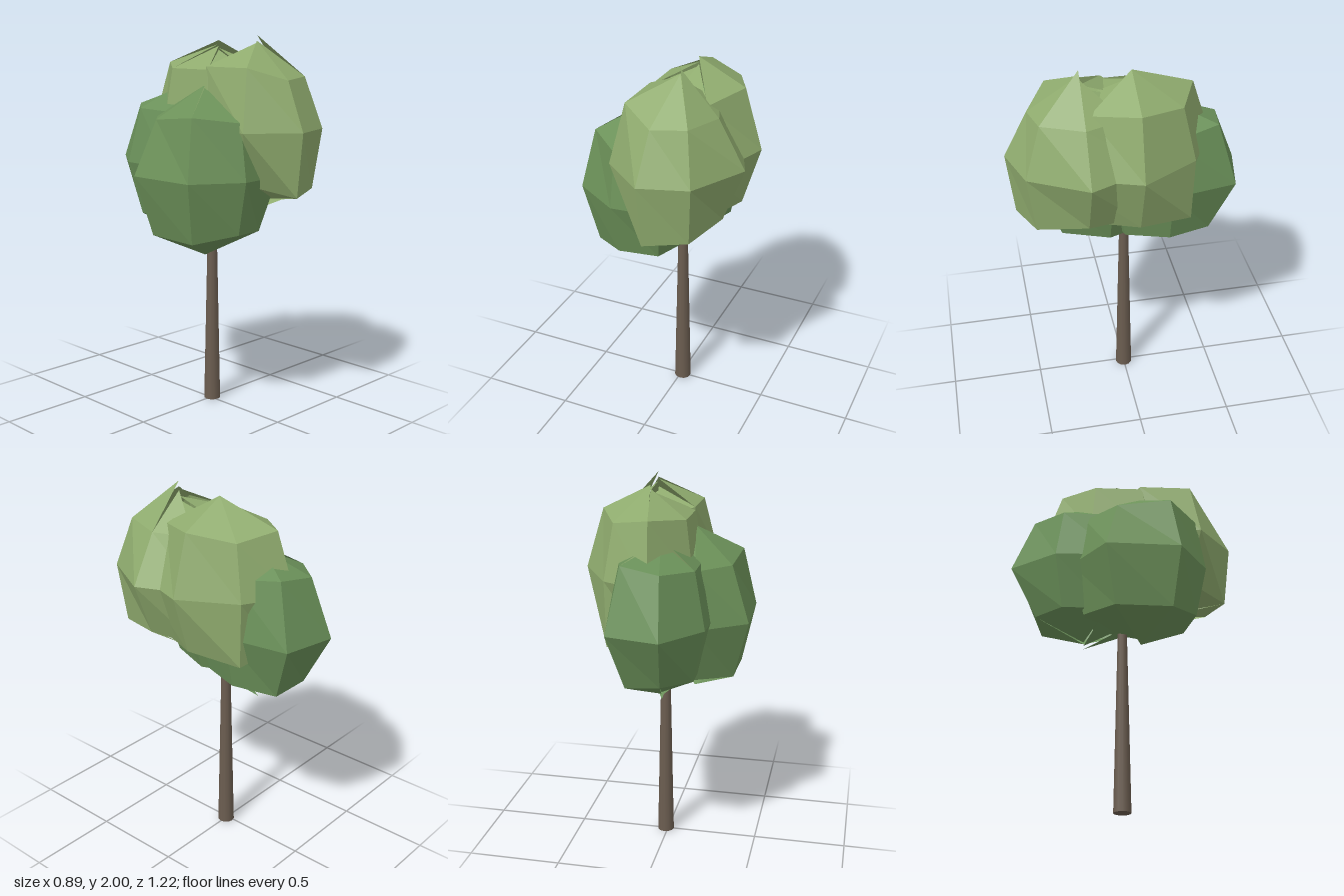
import * as THREE from 'three';

const SIDES = 7;
const DEPTH = 1.3; // clumps are deeper than wide

// Faceted foliage clump: a 7-sided, 4-step ball with uneven corners.
// center: [x, y, z]; tall: how far a corner rises or drops per unit of its radius.
// tops, bottoms: tip height of each cap sector, so the caps are slightly ragged.
// rings: radius per corner for the upper ring, the widest ring and the lower ring.
function foliage(name, color, [x, y, z], tall, tops, bottoms, rings) {
  const point = (ring, k) => {
    const i = k % SIDES;
    const a = (i / SIDES) * Math.PI * 2;
    const r = rings[ring][i];
    return [x + Math.cos(a) * r, y + (1 - ring) * tall * r, z + Math.sin(a) * r * DEPTH];
  };
  const pos = [];
  const tri = (a, b, c) => pos.push(...a, ...b, ...c);
  for (let k = 0; k < SIDES; k++) {
    tri([x, tops[k], z], point(0, k + 1), point(0, k));
    for (let j = 0; j < 2; j++) {
      const a = point(j, k), b = point(j, k + 1);
      const c = point(j + 1, k), d = point(j + 1, k + 1);
      tri(a, b, c);
      tri(b, d, c);
    }
    tri([x, bottoms[k], z], point(2, k), point(2, k + 1));
  }
  const geo = new THREE.BufferGeometry();
  geo.setAttribute('position', new THREE.Float32BufferAttribute(pos, 3));
  geo.computeVertexNormals();
  const mesh = new THREE.Mesh(geo, new THREE.MeshStandardMaterial({
    color, flatShading: true, side: THREE.DoubleSide
  }));
  mesh.name = name;
  return mesh;
}

export function createModel() {
  const tree = new THREE.Group();
  tree.name = 'tree';

  // Tapered trunk
  const trunk = new THREE.Mesh(
    new THREE.CylinderGeometry(0.025, 0.046, 0.99, 12),
    new THREE.MeshStandardMaterial({ color: 0x6b5d50 })
  );
  trunk.name = 'trunk';
  trunk.position.set(0.012, 0.495, 0);
  tree.add(trunk);

  // Two light upper clumps
  tree.add(foliage('frontUpperFoliage', 0x8fab6e, [0.1, 1.53, 0.235], 1.25,
    [2.0, 1.97, 1.97, 1.96, 1.92, 1.9, 1.95],
    [1.09, 1.14, 1.15, 1.14, 1.15, 1.15, 1.12], [
      [0.2, 0.21, 0.2, 0.25, 0.25, 0.22, 0.2],
      [0.34, 0.29, 0.295, 0.33, 0.27, 0.3, 0.32],
      [0.23, 0.25, 0.265, 0.22, 0.23, 0.24, 0.25]
    ]));
  tree.add(foliage('backUpperFoliage', 0x8fab6e, [0.085, 1.53, -0.025], 1.26,
    [1.97, 1.93, 1.92, 1.94, 1.95, 1.97, 1.97],
    [1.13, 1.15, 1.15, 1.14, 1.13, 1.12, 1.12], [
      [0.25, 0.23, 0.22, 0.235, 0.235, 0.253, 0.225],
      [0.345, 0.36, 0.28, 0.28, 0.28, 0.335, 0.285],
      [0.25, 0.25, 0.24, 0.24, 0.24, 0.25, 0.275]
    ]));

  // Two darker lower clumps
  tree.add(foliage('rightLowerFoliage', 0x6c9159, [-0.13, 1.29, 0.09], 1.2,
    [1.75, 1.75, 1.74, 1.75, 1.75, 1.73, 1.75],
    [0.93, 0.86, 0.86, 0.86, 0.91, 0.93, 0.93], [
      [0.24, 0.23, 0.24, 0.263, 0.24, 0.24, 0.24],
      [0.33, 0.32, 0.276, 0.34, 0.35, 0.295, 0.31],
      [0.24, 0.24, 0.23, 0.265, 0.26, 0.24, 0.24]
    ]));
  tree.add(foliage('backLowerFoliage', 0x6a9059, [-0.01, 1.32, -0.21], 1.35,
    [1.74, 1.74, 1.74, 1.74, 1.72, 1.72, 1.74],
    [0.91, 0.88, 0.9, 0.92, 0.92, 0.91, 0.91], [
      [0.22, 0.21, 0.21, 0.21, 0.215, 0.223, 0.245],
      [0.27, 0.28, 0.28, 0.29, 0.28, 0.316, 0.336],
      [0.215, 0.22, 0.22, 0.21, 0.21, 0.205, 0.225]
    ]));

  return tree;
}
